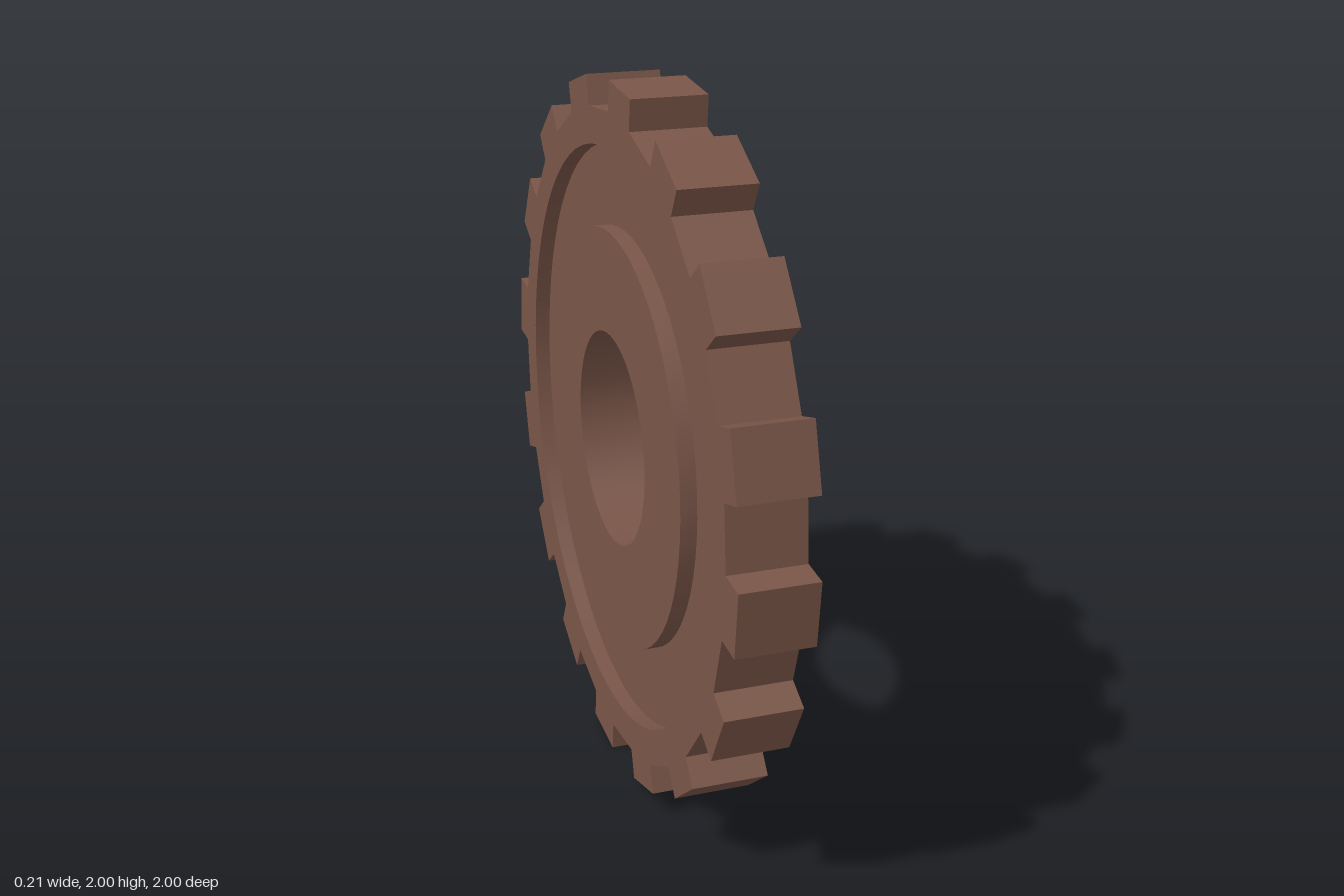
import * as THREE from 'three';
import { toCreasedNormals } from 'three/addons/utils/BufferGeometryUtils.js';

const TEETH = 16;
const HALF = 0.105;        // half thickness of rim and hub
const WEB = 0.06;          // half thickness of the recessed web
const ROOT = 0.916, TIP = 1.0, TOOTH_HALF = 0.09;
const BORE = 0.303, HUB = 0.592, RIM = 0.815;
const SEGMENTS = 64;

export function createModel() {
  const group = new THREE.Group();
  group.name = 'gear';
  const material = new THREE.MeshStandardMaterial({ color: 0x795548 });

  // Toothed outline: straight-sided teeth joined by flat gaps
  const rootAngle = Math.asin(TOOTH_HALF / ROOT);
  const tipAngle = Math.asin(TOOTH_HALF / TIP);
  const outline = [];
  for (let i = 0; i < TEETH; i++) {
    const a = THREE.MathUtils.degToRad(5.5) + (i / TEETH) * Math.PI * 2;
    for (const [r, d] of [[ROOT, -rootAngle], [TIP, -tipAngle], [TIP, tipAngle], [ROOT, rootAngle]]) {
      outline.push(new THREE.Vector2(r * Math.cos(a + d), r * Math.sin(a + d)));
    }
  }
  const shape = new THREE.Shape(outline);
  shape.holes.push(new THREE.Path().absarc(0, 0, RIM, 0, Math.PI * 2, true));

  // Toothed rim, turned so that its axis runs along x
  const rimGeometry = new THREE.ExtrudeGeometry(shape, {
    depth: HALF * 2, bevelEnabled: false, curveSegments: SEGMENTS / 2,
  });
  rimGeometry.translate(0, 0, -HALF).rotateY(Math.PI / 2);
  const rim = new THREE.Mesh(toCreasedNormals(rimGeometry, 0.19), material);
  rim.name = 'toothedRim';

  // Recessed web, raised hub and bore in one turned profile
  const profile = [
    [RIM, WEB], [HUB, WEB], [HUB, HALF], [BORE, HALF],
    [BORE, -HALF], [HUB, -HALF], [HUB, -WEB], [RIM, -WEB],
  ].map(([r, y]) => new THREE.Vector2(r, y));
  // Mirrored order keeps the faces pointing outward
  const hubGeometry = new THREE.LatheGeometry(profile, SEGMENTS);
  hubGeometry.rotateZ(-Math.PI / 2);
  const hub = new THREE.Mesh(toCreasedNormals(hubGeometry, 0.6), material);
  hub.name = 'hubAndWeb';

  for (const part of [rim, hub]) {
    part.position.y = 1;
    group.add(part);
  }
  return group;
}
